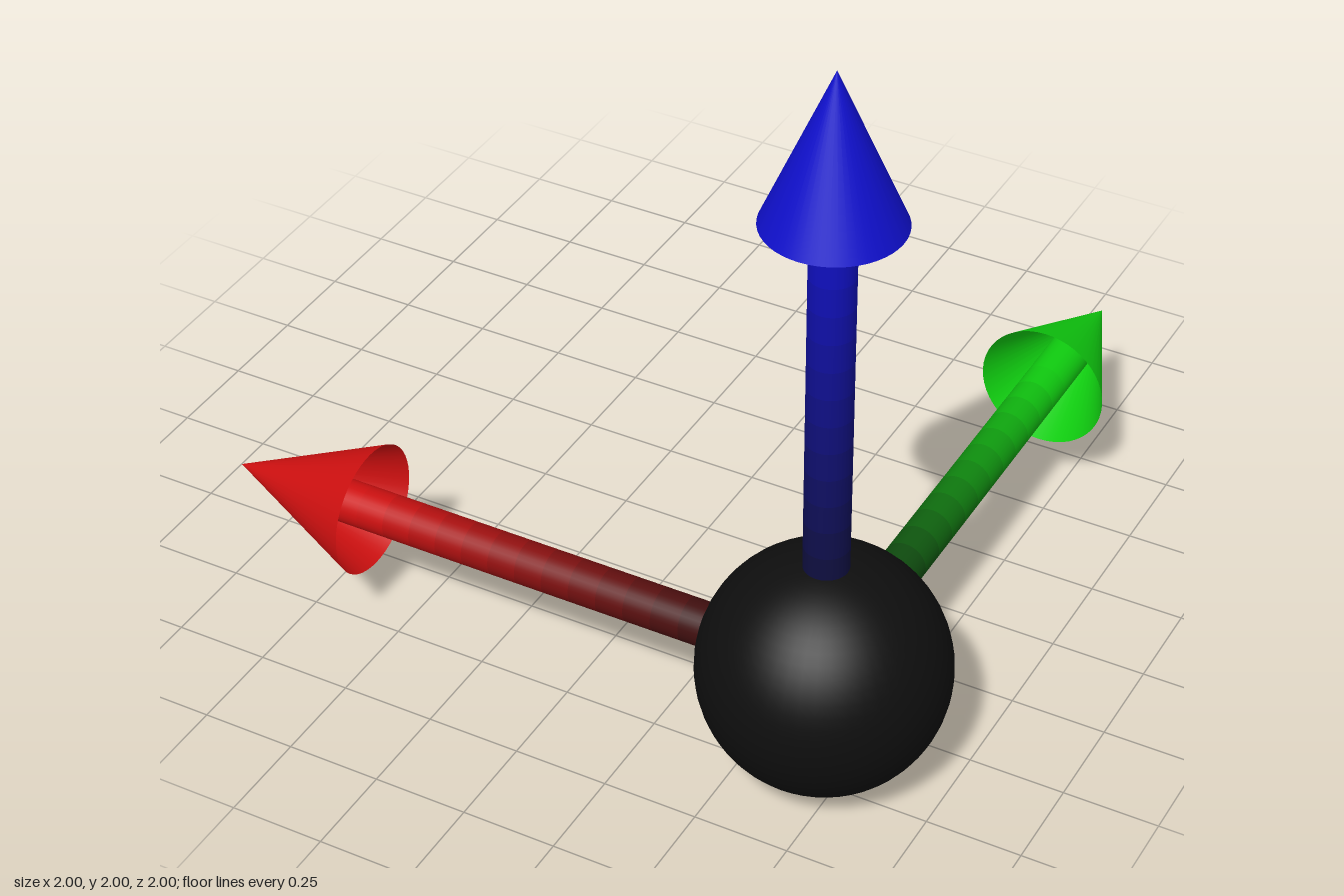
import * as THREE from 'three';

const BALL_R = 0.315, SHAFT_R = 0.057, HEAD_R = 0.173;
const HEAD_START = 1.285, TIP = 1.685, SHAFT_END = 1.53;
const DARK = [0.055, 0.055, 0.055];
const BANDS = 16;

function material(rgb, side = THREE.FrontSide) {
  const color = new THREE.Color().setRGB(...rgb, THREE.SRGBColorSpace);
  return new THREE.MeshStandardMaterial({ color, side });
}

// An arrow along +y from the ball's centre
function createArrow(name, rgb) {
  const arrow = new THREE.Group();
  arrow.name = name;

  // Shaft, fading from dark at the ball to full colour at the head
  const shaft = new THREE.Group();
  shaft.name = name + 'Shaft';
  const start = BALL_R - 0.02;
  const length = (SHAFT_END - start) / BANDS;
  for (let i = 0; i < BANDS; i++) {
    const y = start + (i + 0.5) * length;
    const t = Math.min(1, y / HEAD_START);
    const shade = rgb.map((c, k) => DARK[k] + (c - DARK[k]) * t);
    const band = new THREE.Mesh(
      new THREE.CylinderGeometry(SHAFT_R, SHAFT_R, length, 32, 1, true),
      material(shade, THREE.DoubleSide));
    band.name = name + 'ShaftBand';
    band.position.y = y;
    shaft.add(band);
  }

  // Hollow cone head, open at its base
  const head = new THREE.Mesh(
    new THREE.ConeGeometry(HEAD_R, TIP - HEAD_START, 48, 1, true),
    material(rgb, THREE.DoubleSide));
  head.name = name + 'Head';
  head.position.y = (HEAD_START + TIP) / 2;

  arrow.add(shaft, head);
  return arrow;
}

export function createModel() {
  const model = new THREE.Group();
  model.name = 'axisMarker';

  const hub = new THREE.Group();
  hub.name = 'hub';
  hub.position.set(1 - BALL_R, BALL_R, 1 - BALL_R);
  model.add(hub);

  // Ball at the origin of the arrows
  const ball = new THREE.Mesh(new THREE.SphereGeometry(BALL_R, 48, 32), material(DARK));
  ball.name = 'ball';
  hub.add(ball);

  // Three perpendicular arrows
  const up = createArrow('upArrow', [0.06, 0.06, 0.8]);
  const side = createArrow('sideArrow', [0.8, 0.06, 0.06]);
  side.rotation.z = Math.PI / 2;
  const back = createArrow('backArrow', [0.06, 0.8, 0.06]);
  back.rotation.x = -Math.PI / 2;
  hub.add(up, side, back);

  return model;
}
